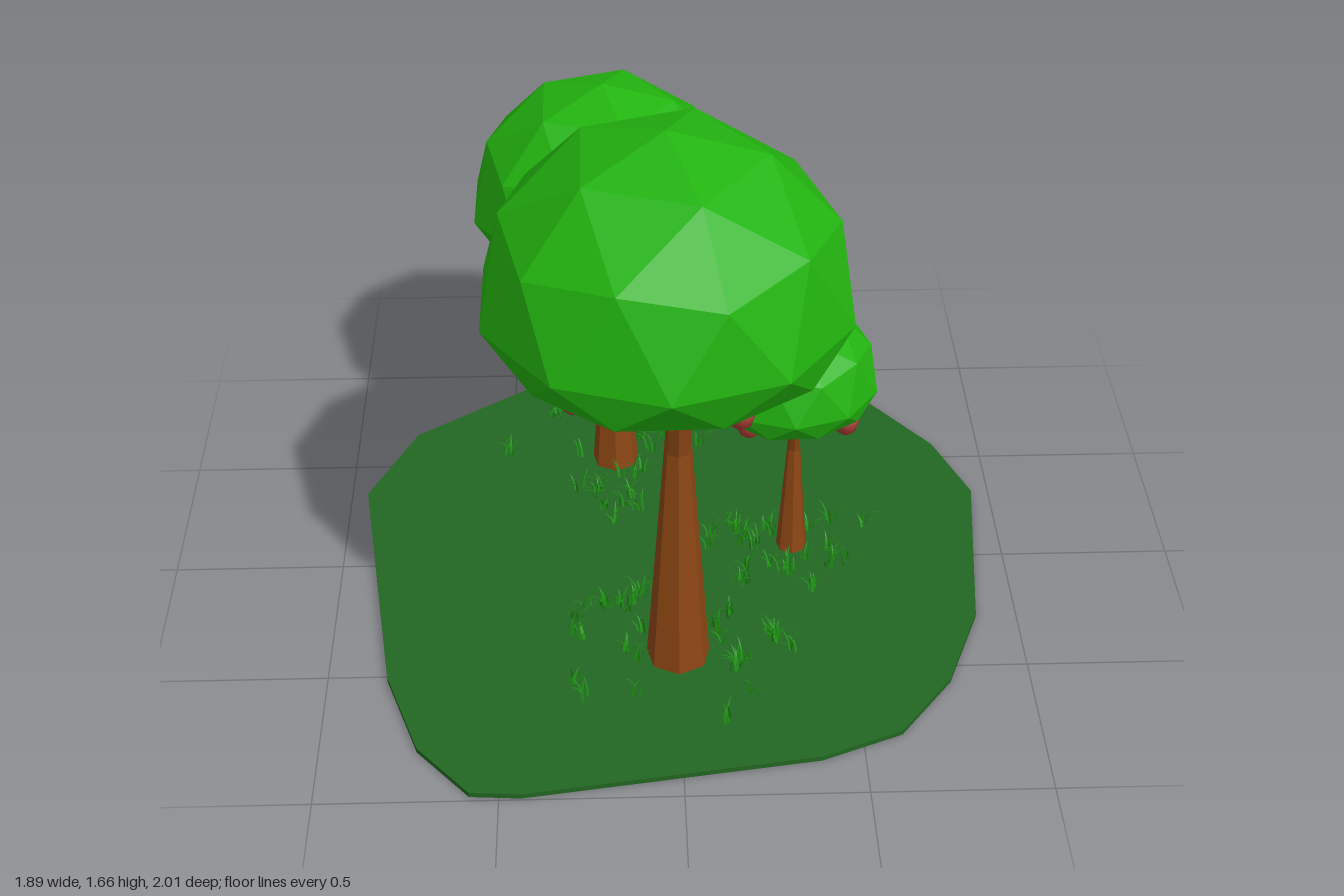
import * as THREE from 'three';
import { mergeGeometries } from 'three/addons/utils/BufferGeometryUtils.js';

const material = (name, color, side = THREE.FrontSide) => {
  const m = new THREE.MeshStandardMaterial({ color, side });
  m.name = name;
  return m;
};

const part = (name, geometry, mat, parent) => {
  const mesh = new THREE.Mesh(geometry, mat);
  mesh.name = name;
  parent.add(mesh);
  return mesh;
};

// faceted normals
const faceted = (geometry) => {
  const g = geometry.index ? geometry.toNonIndexed() : geometry;
  g.computeVertexNormals();
  return g;
};

// tapered six-sided limb between two points
const limb = (from, to, r0, r1) => {
  const a = new THREE.Vector3(...from), b = new THREE.Vector3(...to);
  const dir = b.clone().sub(a);
  const g = new THREE.CylinderGeometry(r1, r0, dir.length(), 7);
  g.applyQuaternion(new THREE.Quaternion().setFromUnitVectors(new THREE.Vector3(0, 1, 0), dir.normalize()));
  const mid = a.add(b).multiplyScalar(0.5);
  return faceted(g.translate(mid.x, mid.y, mid.z));
};

// trunk with level ends, leaning slightly backwards
const trunkGeometry = () => {
  const g = new THREE.CylinderGeometry(0.036, 0.093, 0.76, 7, 1).translate(0, 0.38, 0);
  const p = g.attributes.position;
  for (let i = 0; i < p.count; i++) p.setZ(i, p.getZ(i) - 0.04 * p.getY(i) / 0.76);
  return faceted(g);
};

// rounded faceted crown with a flattened underside
const crownGeometry = () => {
  const g = new THREE.IcosahedronGeometry(1, 1).rotateZ(-Math.atan(2 / (1 + Math.sqrt(5))));
  const p = g.attributes.position;
  for (let i = 0; i < p.count; i++) {
    const y = p.getY(i);
    const h = y > 0 ? y * 0.5 : -0.2 * Math.pow(-y, 0.6);
    p.setXYZ(i, p.getX(i) * 0.515, Math.abs(y) < 1e-4 ? 0 : h, p.getZ(i) * 0.515);
  }
  return faceted(g.translate(-0.03, 1.16, -0.12));
};

// dimpled fruit body
const fruitGeometry = () => new THREE.LatheGeometry([
  [0, -0.031], [0.014, -0.036], [0.03, -0.022], [0.039, 0.004], [0.036, 0.023],
  [0.022, 0.035], [0.009, 0.033], [0, 0.024],
].map(([x, y]) => new THREE.Vector2(x, y)), 12);

let seed = 7;
const rand = () => {
  seed = (seed * 16807) % 2147483647;
  return seed / 2147483647;
};

// one curved, pointed grass blade
const blade = (x, z) => {
  const height = 0.03 + rand() * 0.04, bend = 0.015 + rand() * 0.035, width = 0.005;
  const pos = [];
  for (const t of [0, 0.4, 0.75, 1]) {
    const w = width * (1 - t), y = height * Math.sin(t * 1.7);
    pos.push(-w, y, bend * t * t, w, y, bend * t * t);
  }
  const g = new THREE.BufferGeometry();
  g.setAttribute('position', new THREE.Float32BufferAttribute(pos, 3));
  const index = [];
  for (let i = 0; i < 6; i += 2) index.push(i, i + 1, i + 2, i + 1, i + 3, i + 2);
  g.setIndex(index);
  g.rotateY(rand() * Math.PI * 2).translate(x, 0.013, z);
  g.computeVertexNormals();
  return g;
};

// ring of small tufts around a trunk
const grassGeometry = (x, z, inner, outer, tufts) => {
  const blades = [];
  for (let i = 0; i < tufts; i++) {
    const a = rand() * Math.PI * 2, r = inner + rand() * (outer - inner);
    for (let k = 0; k < 5; k++) {
      blades.push(blade(x + Math.cos(a) * r + (rand() - 0.5) * 0.03, z + Math.sin(a) * r + (rand() - 0.5) * 0.03));
    }
  }
  return mergeGeometries(blades);
};

export function createModel() {
  const model = new THREE.Group();
  model.name = 'orchard';
  const soil = material('ground green', 0x226622);
  const leaf = material('leaf green', 0x22b30f);
  const bark = material('bark brown', 0x8b4513);
  const red = material('fruit red', 0xa63c36);
  const stemBrown = material('stem brown', 0x4a3215);
  const grass = material('grass green', 0x1f9414, THREE.DoubleSide);

  // irregular ground slab
  const outline = [
    [-0.1, -1], [0.45, -0.91], [0.66, -0.8], [0.85, -0.55], [0.945, -0.3], [0.88, 0.29],
    [0.77, 0.57], [0.61, 0.78], [0.38, 0.875], [-0.44, 0.995], [-0.58, 0.985], [-0.73, 0.81],
    [-0.83, 0.52], [-0.95, -0.34], [-0.81, -0.65], [-0.43, -0.92], [-0.2, -1],
  ].map(([x, z]) => new THREE.Vector2(x, -z));
  const slab = new THREE.ExtrudeGeometry(new THREE.Shape(outline), { depth: 0.015, bevelEnabled: false });
  part('ground', slab.rotateX(-Math.PI / 2), soil, model);

  // position, scale, grass ring and fruit of each tree
  const trees = [
    { x: 0, z: 0.44, s: 1, ring: [0.12, 0.35, 36],
      fruit: [[0.16, 0.93, 0.55], [0.085, 0.93, 0.18], [-0.28, 0.93, 0.47], [-0.28, 0.93, 0.1]] },
    { x: -0.17, z: -0.51, s: 0.79, ring: [0.11, 0.35, 32],
      fruit: [[-0.35, 0.73, -0.77], [0.035, 0.74, -0.71], [-0.37, 0.735, -0.55]] },
    { x: 0.36, z: -0.05, s: 0.51, ring: [0.07, 0.26, 30],
      fruit: [[0.225, 0.46, -0.055], [0.365, 0.455, -0.26], [0.51, 0.465, -0.055]] },
  ];

  const trunk = trunkGeometry(), crown = crownGeometry(), fruit = fruitGeometry();
  const frontBranch = limb([0, 0.7, -0.038], [0, 1.05, 0.02], 0.037, 0.029);
  const backBranch = limb([0, 0.73, -0.04], [0, 1.02, -0.29], 0.03, 0.02);
  const stem = new THREE.CylinderGeometry(0.004, 0.004, 0.06, 5).translate(0, 0.053, 0);

  for (const t of trees) {
    const tree = new THREE.Group();
    tree.name = 'tree';
    tree.position.set(t.x, 0, t.z);
    tree.scale.setScalar(t.s);
    part('trunk', trunk, bark, tree);
    part('frontBranch', frontBranch, bark, tree);
    part('backBranch', backBranch, bark, tree);
    part('crown', crown, leaf, tree);
    model.add(tree);

    // hanging fruit
    for (const p of t.fruit) {
      const hanging = new THREE.Group();
      hanging.name = 'fruit';
      hanging.position.set(...p);
      part('fruitBody', fruit, red, hanging);
      part('fruitStem', stem, stemBrown, hanging);
      model.add(hanging);
    }
    part('grass', grassGeometry(t.x, t.z, ...t.ring), grass, model);
  }
  return model;
}
